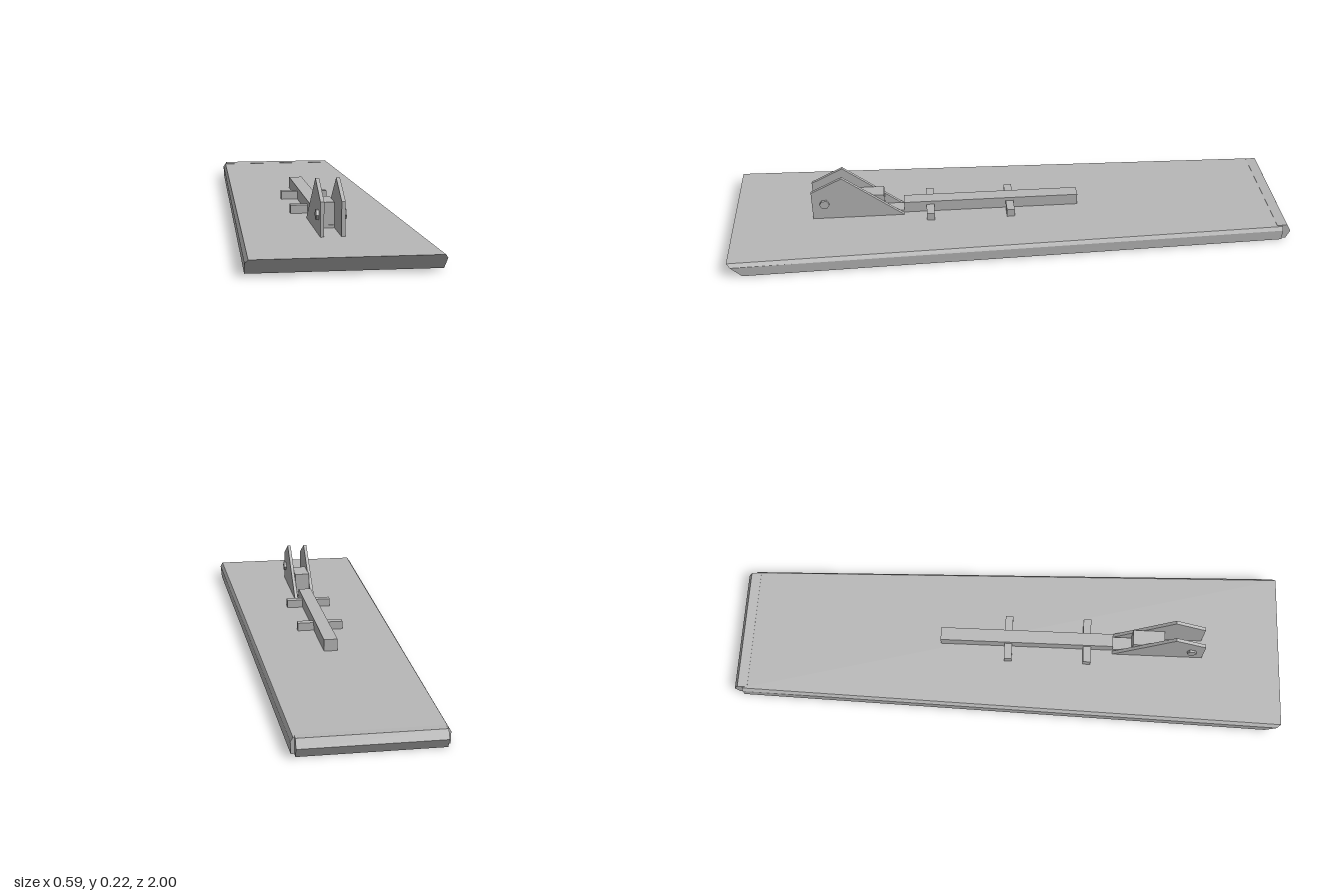
import * as THREE from 'three';

const DECK = 0.055; // height of the panel's upper face

export function createModel() {
  const model = new THREE.Group();
  model.name = 'hingedPanel';
  const grey = new THREE.MeshStandardMaterial({ color: 0xb8b8b8 });
  grey.name = 'plain grey';

  const add = (name, geometry) => {
    const mesh = new THREE.Mesh(geometry, grey);
    mesh.name = name;
    model.add(mesh);
  };
  const extrude = (points, depth) => new THREE.ExtrudeGeometry(
    new THREE.Shape(points.map(([a, b]) => new THREE.Vector2(a, b))),
    { depth, bevelEnabled: false });
  // Side profile of [z, y] points, extruded across x from x0 to x1
  const prism = (name, points, x0, x1) =>
    add(name, extrude(points, x1 - x0).rotateY(-Math.PI / 2).translate(x1, 0, 0));
  const block = (name, x, y0, y1, z0, z1) =>
    prism(name, [[z0, y0], [z1, y0], [z1, y1], [z0, y1]], -x, x);

  // Tapered panel with chamfered upper edges and a raked front edge
  const panel = extrude([
    [-0.292, 0.004], [0.292, 0.004], [0.293, 0.042],
    [0.283, DECK], [-0.283, DECK], [-0.293, 0.042],
  ], 1);
  const p = panel.attributes.position;
  for (let i = 0; i < p.count; i++) {
    const t = p.getZ(i);
    const front = 0.95 + (p.getY(i) - 0.004) / (DECK - 0.004) * 0.05;
    const z = THREE.MathUtils.lerp(-0.968, front, t);
    p.setXYZ(i, p.getX(i) * THREE.MathUtils.mapLinear(z, -0.968, 1, 0.81, 1), p.getY(i), z);
  }
  panel.computeVertexNormals();
  add('panel', panel);

  // Faceted hinge edge along the back
  prism('hingeEdge', [
    [-0.95, 0.004], [-0.95, 0.056], [-0.985, 0.059],
    [-1, 0.031], [-0.985, 0.001],
  ], -0.225, 0.225);

  // Central spine and its cross bars
  block('spine', 0.024, DECK, 0.097, -0.25, 0.385);
  for (const z of [0, 0.29]) block('crossBar', 0.083, DECK, 0.084, z - 0.014, z + 0.014);

  // Stop block between the lugs, with a low foot at its front
  block('stopBlock', 0.028, DECK, 0.138, 0.455, 0.57);
  block('stopFoot', 0.024, DECK, 0.065, 0.385, 0.573);

  // Pair of lugs with hexagonal pins on their outer faces
  const lug = [[0.385, DECK], [0.715, DECK], [0.715, 0.165], [0.602, 0.222]];
  const hexagon = Array.from({ length: 6 }, (_, i) => {
    const a = i * Math.PI / 3;
    return [0.67 + 0.018 * Math.cos(a), 0.118 + 0.018 * Math.sin(a)];
  });
  for (const side of [-1, 1]) {
    const across = (name, points, a, b) =>
      prism(name, points, Math.min(side * a, side * b), Math.max(side * a, side * b));
    across('lug', lug, 0.027, 0.039);
    across('pin', hexagon, 0.038, 0.048);
  }
  return model;
}
